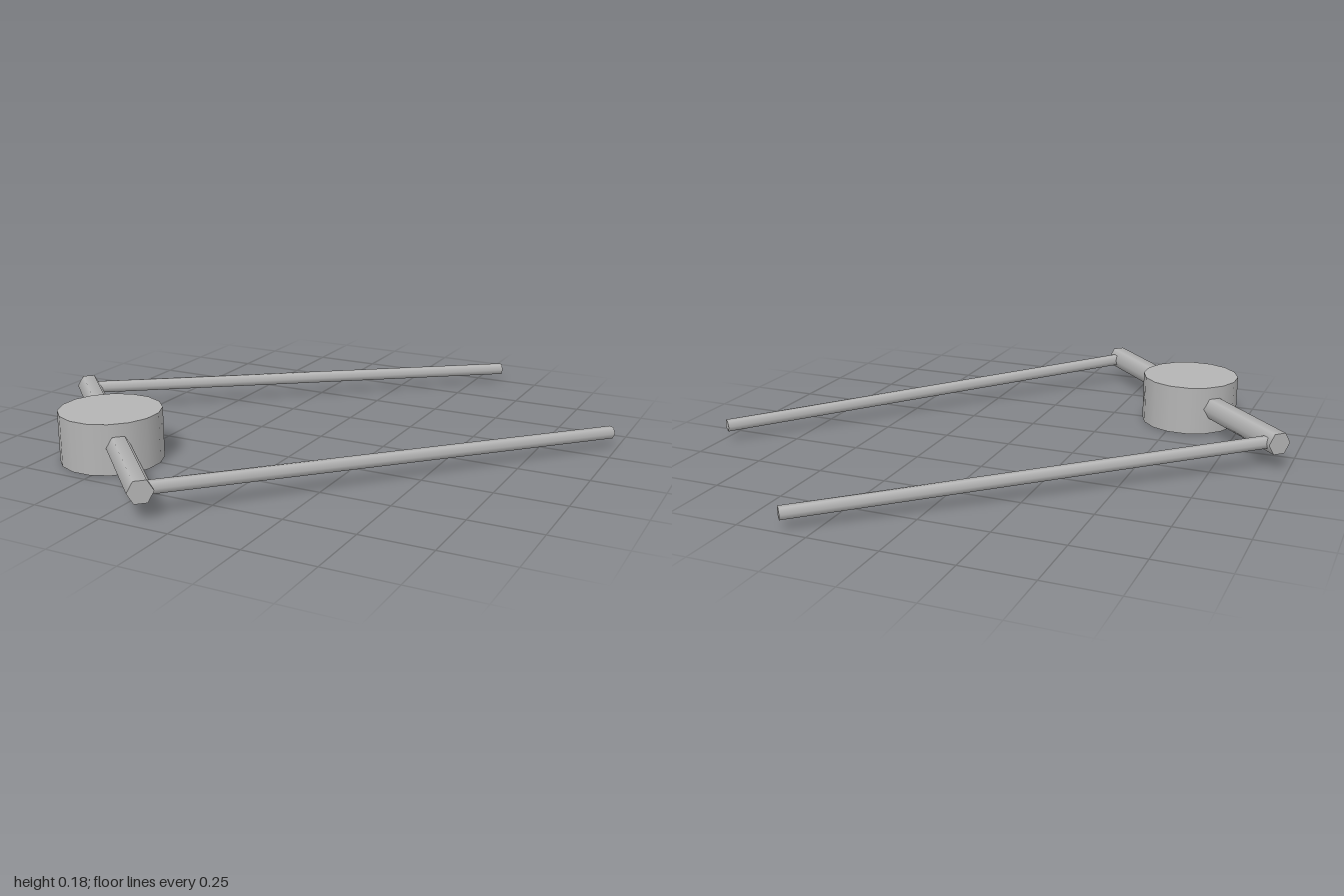
import * as THREE from 'three';

const grey = new THREE.MeshStandardMaterial({ color: 0xb4b4b4 });
grey.name = 'grey';

// Six-sided rod between two points, with flats at top and bottom
function rod(name, from, to, radius) {
  const a = new THREE.Vector3(...from);
  const b = new THREE.Vector3(...to);
  const dir = b.clone().sub(a);
  const length = dir.length();
  dir.normalize();
  const side = new THREE.Vector3(0, 1, 0).cross(dir).normalize();
  const up = dir.clone().cross(side);
  const mesh = new THREE.Mesh(new THREE.CylinderGeometry(radius, radius, length, 6), grey);
  mesh.name = name;
  mesh.quaternion.setFromRotationMatrix(new THREE.Matrix4().makeBasis(up, dir, side));
  mesh.position.copy(a).add(b).multiplyScalar(0.5);
  return mesh;
}

export function createModel() {
  const model = new THREE.Group();
  model.name = 'forkedFrame';

  // Round hub standing on the ground
  const hub = new THREE.Mesh(new THREE.CylinderGeometry(0.18, 0.18, 0.18, 16), grey);
  hub.name = 'hub';
  hub.position.set(-0.542, 0.09, 0.535);
  hub.rotation.y = Math.PI / 16;
  model.add(hub);

  // Crossbar through the hub
  model.add(rod('crossbar', [-0.966, 0.097, 0.108], [-0.119, 0.097, 0.962], 0.043));

  // Long, slightly drooping and spreading arms
  model.add(rod('backArm', [-0.94, 0.097, 0.132], [0.353, 0.058, -0.985], 0.023));
  model.add(rod('frontArm', [-0.142, 0.097, 0.936], [0.977, 0.058, -0.36], 0.023));

  return model;
}
